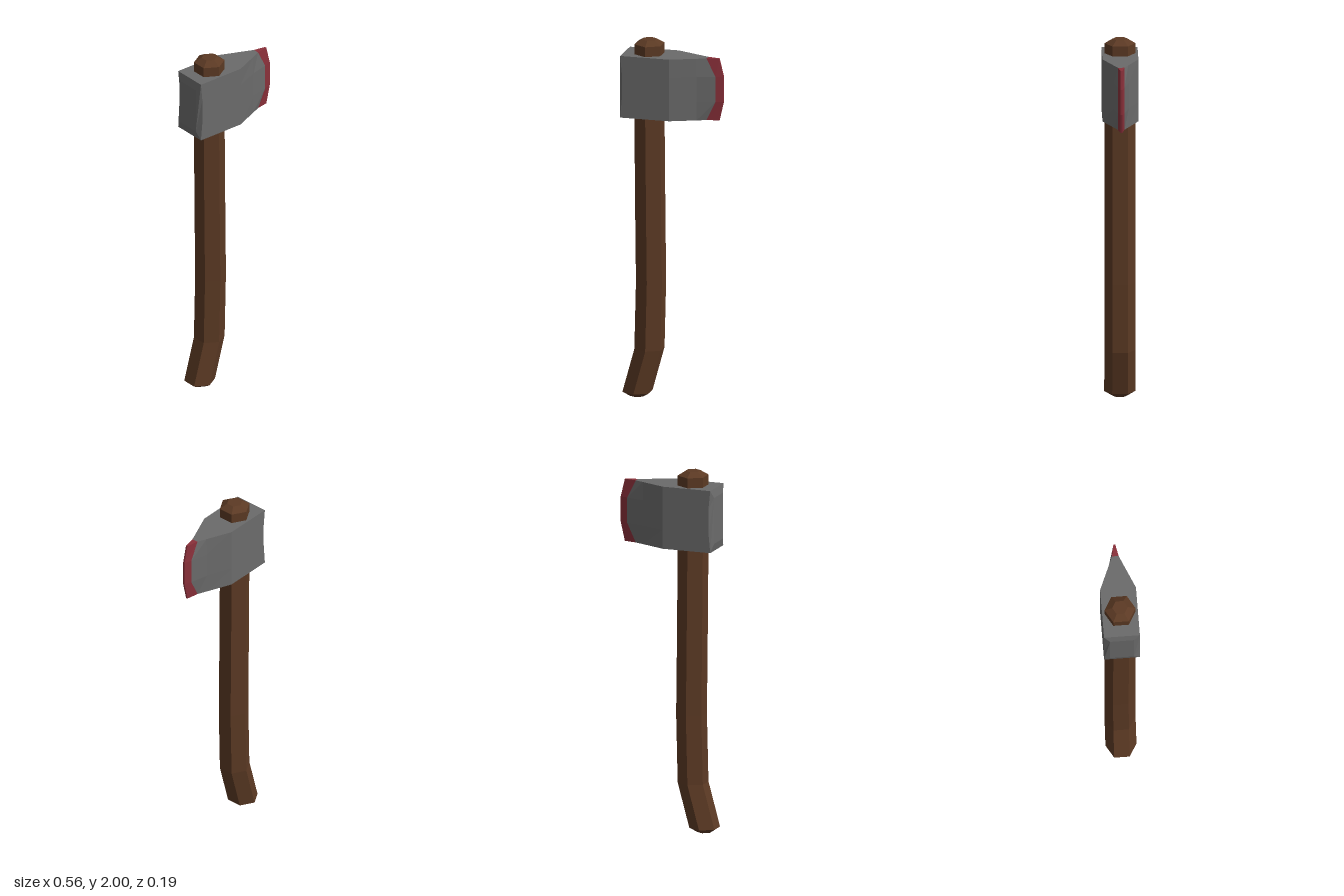
import * as THREE from 'three';

// Flat-shaded mesh from convex polygons, each listed counter-clockwise
function facetMesh(name, polygons, color) {
  const pos = [];
  for (const p of polygons) {
    for (let i = 1; i < p.length - 1; i++) pos.push(...p[0], ...p[i], ...p[i + 1]);
  }
  const geo = new THREE.BufferGeometry();
  geo.setAttribute('position', new THREE.Float32BufferAttribute(pos, 3));
  geo.computeVertexNormals();
  const mesh = new THREE.Mesh(geo, new THREE.MeshStandardMaterial({ color, flatShading: true }));
  mesh.name = name;
  return mesh;
}

// Mirror polygons across z = 0, keeping them facing outward
const mirrorZ = (polys) => polys.map((p) => p.map(([x, y, z]) => [x, y, -z]).reverse());

// Hexagonal handle lofted through rings of [y, centre x, radius]
function handle() {
  const rings = [
    [0, -0.203, 0.042], [0.025, -0.202, 0.084], [0.27, -0.135, 0.084], [0.65, -0.126, 0.084],
    [1.0, -0.13, 0.084], [1.57, -0.135, 0.084], [1.975, -0.135, 0.084], [2, -0.135, 0.042],
  ].map(([y, cx, r]) => Array.from({ length: 6 }, (_, i) => {
    const a = (i * Math.PI) / 3;
    return [cx + r * Math.sin(a), y, r * Math.cos(a)];
  }));
  const polys = [[...rings[0]].reverse(), rings[rings.length - 1]];
  for (let j = 0; j < rings.length - 1; j++) {
    for (let i = 0; i < 6; i++) {
      const k = (i + 1) % 6;
      polys.push([rings[j][i], rings[j][k], rings[j + 1][k], rings[j + 1][i]]);
    }
  }
  return facetMesh('handle', polys, 0x5c3a24);
}

// Axe head: rows run upward, columns run from the poll to the cutting edge
const rowY = [1.575, 1.68, 1.82, 1.92];
const rimCols = [[-0.272, 0.097], [0.003, 0.097], [0.14, 0.039], [0.19, 0.018], [0.258, 0.005]];
const midCols = [[-0.262, 0.097], [0.003, 0.097], [0.14, 0.042], [0.24, 0.017], [0.282, 0.005]];
const grid = rowY.map((y, j) =>
  (j === 0 || j === 3 ? rimCols : midCols).map(([x, z]) => [x, y, z]));
const flip = ([x, y, z]) => [x, y, -z];

// Cheeks, top and bottom between two columns
function headSpan(from, to) {
  const side = [];
  const caps = [];
  for (let i = from; i < to; i++) {
    for (let j = 0; j < 3; j++) {
      side.push([grid[j][i], grid[j][i + 1], grid[j + 1][i + 1], grid[j + 1][i]]);
    }
    const [t0, t1, b0, b1] = [grid[3][i], grid[3][i + 1], grid[0][i], grid[0][i + 1]];
    caps.push([t0, t1, flip(t1), flip(t0)], [flip(b0), flip(b1), b1, b0]);
  }
  return [...side, ...mirrorZ(side), ...caps];
}

// Back of the head: raised panel, sloped borders and hollowed side facets
function poll() {
  const lo = [-0.282, 1.62, 0.065];
  const hi = [-0.282, 1.875, 0.065];
  const c = grid.map((row) => row[0]);
  const side = [[lo, c[0], c[1], c[2], c[3], hi]];
  return [
    [flip(lo), lo, hi, flip(hi)],
    [flip(hi), hi, c[3], flip(c[3])],
    [flip(c[0]), c[0], lo, flip(lo)],
    ...side, ...mirrorZ(side),
  ];
}

// Narrow strip closing the tip of the cutting edge
function tip() {
  return [0, 1, 2].map((j) => {
    const [a, b] = [grid[j][4], grid[j + 1][4]];
    return [a, flip(a), flip(b), b];
  });
}

export function createModel() {
  const group = new THREE.Group();
  group.name = 'axe';
  group.add(
    handle(),
    facetMesh('axeHead', [...headSpan(0, 3), ...poll()], 0x6b6b6b),
    facetMesh('cuttingEdge', [...headSpan(3, 4), ...tip()], 0x8a303a),
  );
  return group;
}
